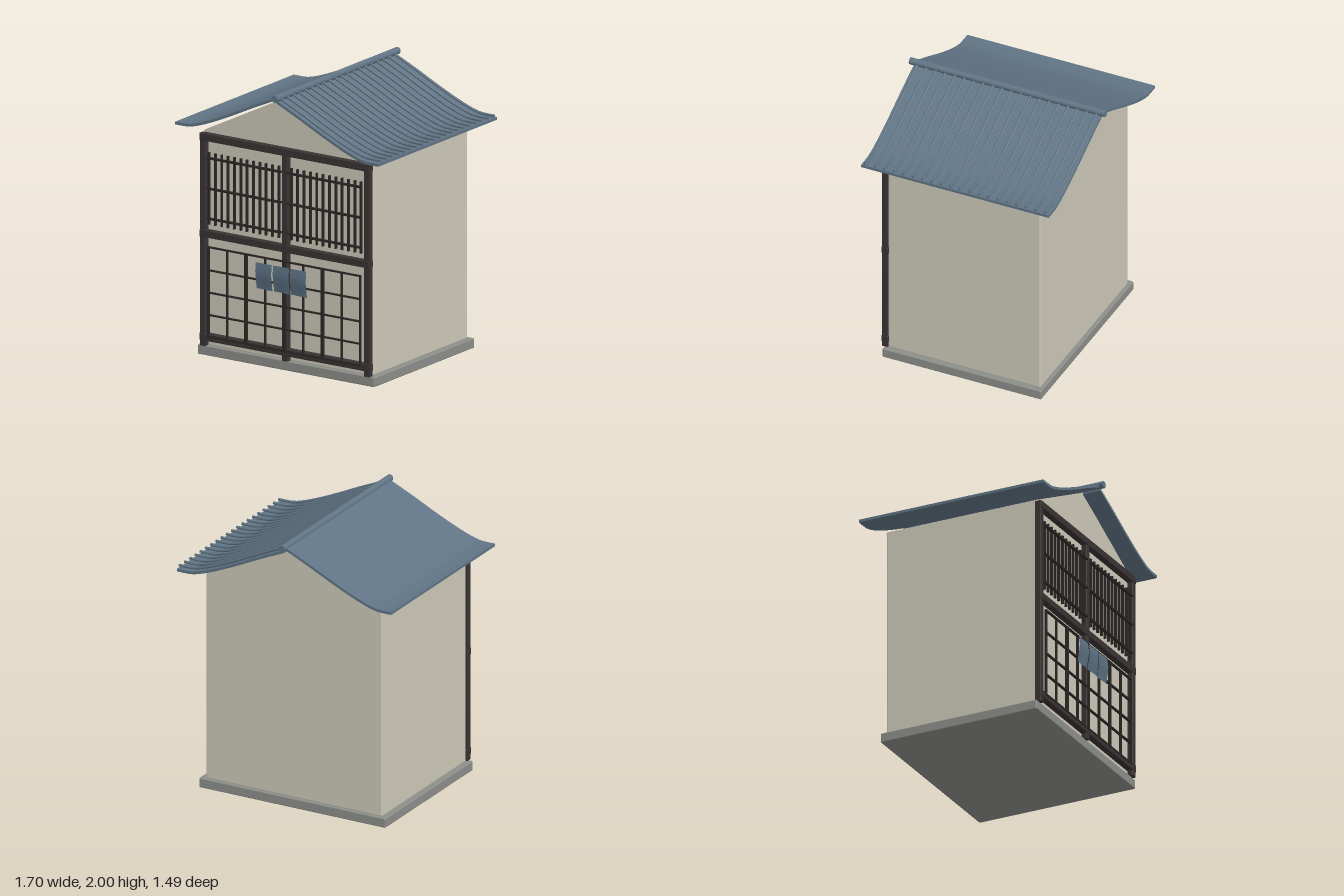
import * as THREE from 'three';
import { toCreasedNormals } from 'three/addons/utils/BufferGeometryUtils.js';
import { RoundedBoxGeometry } from 'three/addons/geometries/RoundedBoxGeometry.js';

const mat = (name, color, side = THREE.FrontSide) => {
  const m = new THREE.MeshStandardMaterial({ color, side });
  m.name = name;
  return m;
};

export function createModel() {
  const model = new THREE.Group();
  model.name = 'townhouse';
  const plaster = mat('cream plaster', 0xccc8b8);
  const stone = mat('grey stone', 0x8c8e8a);
  const timber = mat('dark timber', 0x3a3333);
  const lattice = mat('black lattice', 0x2a2625);
  const tile = mat('slate blue tile', 0x607485);
  const cloth = mat('blue cloth', 0x5c7184, THREE.DoubleSide);

  const add = (name, geometry, material, parent = model) => {
    const mesh = new THREE.Mesh(geometry, material);
    mesh.name = name;
    parent.add(mesh);
    return mesh;
  };
  const group = (name) => {
    const g = new THREE.Group();
    g.name = name;
    model.add(g);
    return g;
  };
  // Box given by its minimum and maximum on each axis
  const block = (name, [x0, x1], [y0, y1], [z0, z1], material, parent, r = 0) => {
    const size = [x1 - x0, y1 - y0, z1 - z0];
    const g = r ? new RoundedBoxGeometry(...size, 2, r) : new THREE.BoxGeometry(...size);
    g.translate((x0 + x1) / 2, (y0 + y1) / 2, (z0 + z1) / 2);
    return add(name, g, material, parent);
  };

  // Foundation and walls
  block('foundation', [-0.74, 0.74], [0, 0.07], [-0.605, 0.605], stone, model, 0.008);
  block('walls', [-0.7, 0.7], [0.065, 1.61], [-0.58, 0.58], plaster, model, 0.012);
  const gable = new THREE.Shape();
  gable.moveTo(-0.7, 1.595).lineTo(0.7, 1.595).lineTo(0.7, 1.605).lineTo(0, 1.95).lineTo(-0.7, 1.605);
  const gableGeo = new THREE.ExtrudeGeometry(gable, { depth: 1.16, bevelEnabled: false });
  gableGeo.translate(0, 0, -0.58);
  add('gable', gableGeo, plaster);

  // Timber frame on the facade
  const frame = group('timberFrame');
  for (const x of [-0.688, 0, 0.688]) {
    block('post', [x - 0.023, x + 0.023], [0.07, 1.585], [0.578, 0.622], timber, frame, 0.004);
  }
  for (const [y0, y1] of [[0.11, 0.16], [0.85, 0.9], [1.54, 1.592]]) {
    block('beam', [-0.712, 0.712], [y0, y1], [0.576, 0.626], timber, frame, 0.004);
  }

  // Upper window lattices
  for (const side of [-1, 1]) {
    const win = group(side < 0 ? 'rightWindowLattice' : 'leftWindowLattice');
    for (let i = 0; i < 12; i++) {
      const x = side * (0.052 + i * 0.0532);
      block('latticeBar', [x - 0.0065, x + 0.0065], [0.945, 1.46], [0.605, 0.622], lattice, win);
    }
    for (const y of [0.99, 1.205, 1.423]) {
      const x = side * 0.338;
      block('latticeRail', [x - 0.312, x + 0.312], [y - 0.007, y + 0.007], [0.615, 0.634], lattice, win);
    }
  }

  // Sliding doors: four frames with thin muntins
  for (const cx of [-0.48, -0.16, 0.16, 0.48]) {
    const door = group('slidingDoor');
    for (const dx of [-0.155, 0, 0.155]) {
      const w = dx ? 0.005 : 0.004;
      block('doorStile', [cx + dx - w, cx + dx + w], [0.14, 0.79], [0.614, 0.632], lattice, door);
    }
    for (const y of [0.145, 0.3, 0.46, 0.62, 0.785]) {
      block('doorRail', [cx - 0.16, cx + 0.16], [y - 0.005, y + 0.005], [0.614, 0.631], lattice, door);
    }
  }

  // Three-piece door curtain with a slight billow
  const curtain = group('doorCurtain');
  for (const cx of [-0.146, 0, 0.143]) {
    const g = new THREE.PlaneGeometry(0.134, 0.188, 6, 6);
    const p = g.attributes.position;
    for (let i = 0; i < p.count; i++) {
      const t = 0.5 - p.getY(i) / 0.188;
      p.setZ(i, 0.66 + 0.008 * Math.sin(t * 4.5) + 0.003 * t * Math.sin(p.getX(i) * 40));
      p.setX(i, p.getX(i) + cx);
      p.setY(i, p.getY(i) + 0.661);
    }
    g.computeVertexNormals();
    add('curtainPanel', g, cloth, curtain);
  }

  // Sagging roof line from ridge to eave
  const line = new THREE.CatmullRomCurve3(
    [[0, 1.972], [0.2, 1.882], [0.4, 1.787], [0.6, 1.702], [0.72, 1.665], [0.78, 1.66], [0.85, 1.66]]
      .map(([x, y]) => new THREE.Vector3(x, y, 0)));

  // Roof slopes; the left one lies a little lower, under its tile ribs
  const slope = (name, side, drop) => {
    const pts = line.getPoints(28);
    const edge = (o) => pts.map((p) => new THREE.Vector2(side * p.x, p.y - drop + o));
    const shape = new THREE.Shape([...edge(0.01), ...edge(-0.01).reverse()]);
    const g = new THREE.ExtrudeGeometry(shape, { depth: 1.43, bevelEnabled: false });
    g.translate(0, 0, -0.715);
    add(name, toCreasedNormals(g, 0.6), tile);
  };
  slope('rightRoofSlope', -1, 0);
  slope('leftRoofSlope', 1, 0.026);

  // Tile ribs
  const ribs = group('tileRibs');
  const ribGeo = new THREE.TubeGeometry(line, 24, 0.01, 8);
  const capGeo = new THREE.CircleGeometry(0.01, 8).rotateY(Math.PI / 2).translate(0.85, 1.66, 0);
  for (let i = 0; i < 20; i++) {
    const z = -0.684 + i * 0.072;
    add('tileRib', ribGeo, tile, ribs).position.z = z;
    add('ribEnd', capGeo, tile, ribs).position.z = z;
  }

  // Ridge pole
  const ridge = new THREE.CylinderGeometry(0.025, 0.025, 1.49, 16);
  ridge.rotateX(Math.PI / 2).translate(0, 1.975, 0);
  add('ridge', ridge, tile);

  return model;
}
